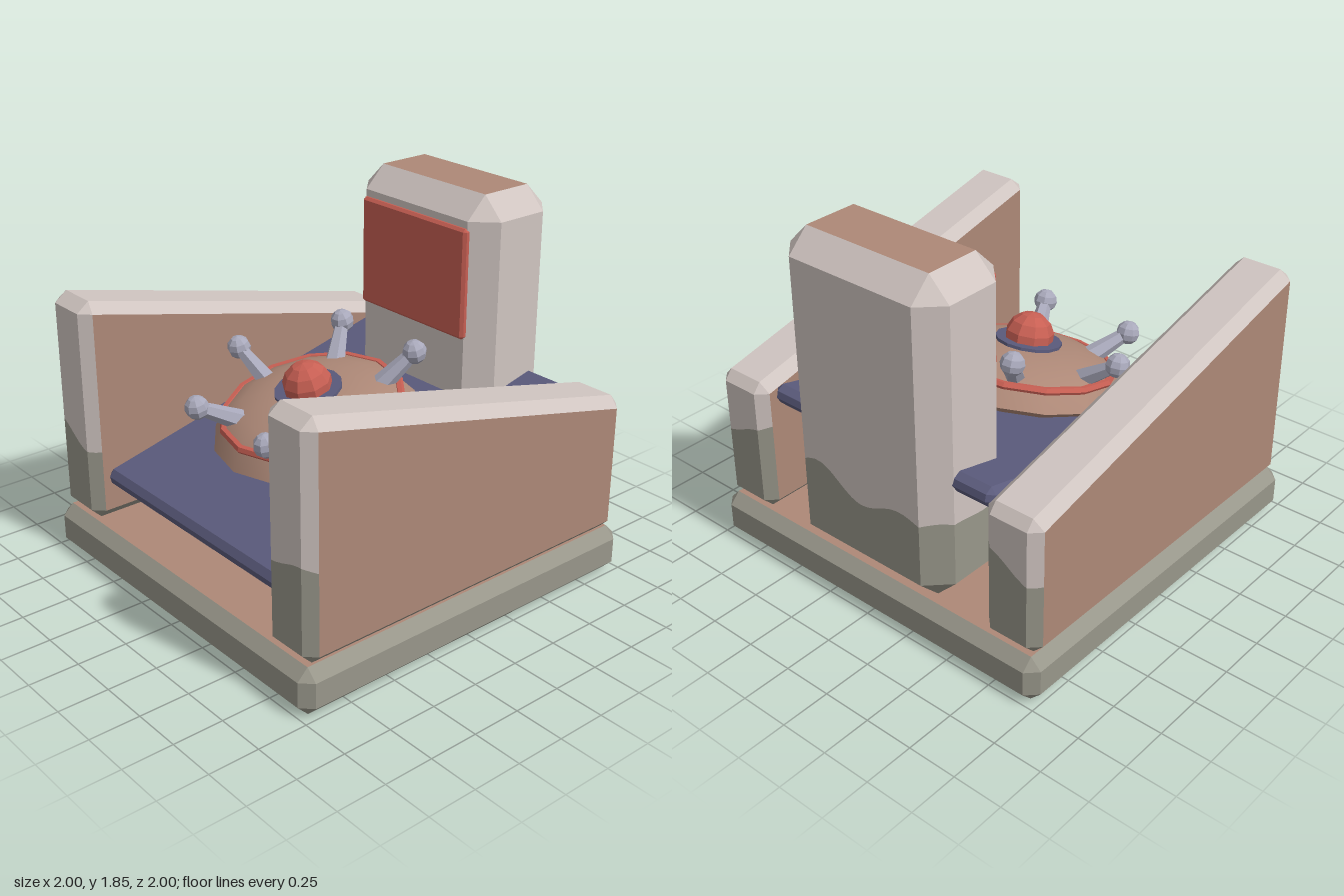
import * as THREE from 'three';

const mat = (name, color) => Object.assign(new THREE.MeshStandardMaterial({ color }), { name });
const M = {
  stone: mat('pale stone', 0xd0c5c1),
  dirt: mat('weathered stone', 0x98968a),
  brown: mat('brown panel', 0xad8877),
  blue: mat('slate blue', 0x5b5b7c),
  red: mat('coral red', 0xc75f53),
  metal: mat('pale metal', 0xa9a9bb),
};

const V = (x, y, z) => new THREE.Vector3(x, y, z);

function mesh(name, geometry, material) {
  const m = new THREE.Mesh(geometry, material);
  m.name = name;
  return m;
}

// Faceted copy of a geometry
function flat(g) {
  const f = g.index ? g.toNonIndexed() : g;
  f.computeVertexNormals();
  return f;
}

function fromTriangles(tris) {
  const g = new THREE.BufferGeometry().setFromPoints(tris.flat());
  g.computeVertexNormals();
  return g;
}

// Chamfered prism along z: corners is the inset counter-clockwise outline, b the chamfer, h the half depth
function prism(corners, b, h) {
  const n = corners.length, inset = [], outer = [];
  const normal = i => {
    const [p, q] = [corners[(i + n) % n], corners[(i + 1) % n]];
    const l = Math.hypot(q[0] - p[0], q[1] - p[1]);
    return [(q[1] - p[1]) / l, (p[0] - q[0]) / l];
  };
  corners.forEach(([x, y], i) => {
    for (const [nx, ny] of [normal(i - 1), normal(i)]) {
      inset.push([x, y]);
      outer.push([x + nx * b, y + ny * b]);
    }
  });
  const at = (ring, z) => ring.map(([x, y]) => V(x, y, z));
  const rings = [at(inset, -h), at(outer, b - h), at(outer, h - b), at(inset, h)];
  const sides = [], caps = [];
  const add = (a, c, d) => {
    if (new THREE.Triangle(a, c, d).getArea() > 1e-8) sides.push([a, c, d]);
  };
  for (let r = 0; r < 3; r++) {
    for (let j = 0; j < 2 * n; j++) {
      const k = (j + 1) % (2 * n), lo = rings[r], hi = rings[r + 1];
      add(lo[j], lo[k], hi[k]);
      add(lo[j], hi[k], hi[j]);
    }
  }
  const top = at(corners, h), bottom = at(corners, -h);
  for (let i = 1; i < n - 1; i++) {
    caps.push([top[0], top[i], top[i + 1]], [bottom[0], bottom[i + 1], bottom[i]]);
  }
  return { caps: fromTriangles(caps), sides: fromTriangles(sides) };
}

const rect = (x, y) => [[-x, -y], [x, -y], [x, y], [-x, y]];

// Chamfered box as one geometry pair with overall sizes; its long axis is z
const chamferBox = (w, h, d, b) => prism(rect(w / 2 - b, h / 2 - b), b, d / 2);

// Wavy height up to which the stone is weathered
const tide = p => 0.675 - 0.04 * Math.sin(13 * p.x + 5 * p.z) + 0.03 * Math.sin(7 * p.x - 11 * p.z + 1);

// Splits a placed geometry along the tide line into a clean and a weathered mesh
function weathered(name, geometry, clean) {
  const pos = flat(geometry).attributes.position, parts = [[], []];
  const clip = (poly, sign) => {
    const out = [];
    poly.forEach((p, i) => {
      const q = poly[(i + 1) % poly.length];
      const a = sign * (p.y - tide(p)), b = sign * (q.y - tide(q));
      if (a >= 0) out.push(p);
      if ((a >= 0) !== (b >= 0)) out.push(p.clone().lerp(q, a / (a - b)));
    });
    return out;
  };
  const cut = (a, b, c) => {
    const ys = [a.y, b.y, c.y];
    const inBand = Math.min(...ys) < 0.76 && Math.max(...ys) > 0.59;
    const e = [a.distanceTo(b), b.distanceTo(c), c.distanceTo(a)];
    const longest = Math.max(...e);
    if (inBand && longest > 0.05) {
      if (longest === e[1]) [a, b, c] = [b, c, a];
      else if (longest === e[2]) [a, b, c] = [c, a, b];
      const m = a.clone().lerp(b, 0.5);
      cut(a, m, c);
      cut(m, b, c);
      return;
    }
    [1, -1].forEach((sign, k) => {
      const poly = clip([a, b, c], sign);
      for (let i = 1; i < poly.length - 1; i++) parts[k].push([poly[0], poly[i], poly[i + 1]]);
    });
  };
  for (let i = 0; i < pos.count; i += 3) {
    cut(...[0, 1, 2].map(k => V().fromBufferAttribute(pos, i + k)));
  }
  const g = new THREE.Group();
  g.name = name;
  if (parts[0].length) g.add(mesh(name + 'Clean', fromTriangles(parts[0]), clean));
  if (parts[1].length) g.add(mesh(name + 'Weathered', fromTriangles(parts[1]), M.dirt));
  return g;
}

// Places a prism; its caps are brown and its sides weathered stone
function stoneBlock(name, p, matrix) {
  const g = weathered(name, p.sides.applyMatrix4(matrix), M.stone);
  g.add(mesh(name + 'Panels', p.caps.applyMatrix4(matrix), M.brown));
  return g;
}

// Single-colour chamfered box
function block(name, w, h, d, b, material) {
  const p = chamferBox(w, h, d, b), g = new THREE.Group();
  g.name = name;
  g.add(mesh(name + 'Sides', p.sides, material), mesh(name + 'Ends', p.caps, material));
  return g;
}

export function createModel() {
  const root = new THREE.Group();
  const upright = (y, z) => new THREE.Matrix4().makeTranslation(0, y, z)
    .multiply(new THREE.Matrix4().makeRotationX(-Math.PI / 2));

  // Base slab and rear pillar
  root.add(stoneBlock('base', chamferBox(2, 2, 0.236, 0.055), upright(0.118, 0)));
  root.add(stoneBlock('pillar', chamferBox(0.93, 0.5, 1.614, 0.11), upright(1.043, -0.75)));

  // Sloping side walls
  const wall = [[-0.91, 0.288], [0.91, 0.288], [0.91, 0.89], [-0.91, 1.325]];
  for (const s of [1, -1]) {
    const m = new THREE.Matrix4().makeTranslation(s * 0.83, 0, 0)
      .multiply(new THREE.Matrix4().makeRotationY(Math.PI / 2));
    root.add(stoneBlock(s > 0 ? 'leftWall' : 'rightWall', prism(wall, 0.052, 0.152), m));
  }

  // Red screen on the pillar
  const screen = block('screen', 0.725, 0.55, 0.055, 0.014, M.red);
  screen.position.set(0, 1.43, -0.505);
  root.add(screen);

  // Tilted board
  const tilt = 0.235;
  const board = block('board', 1.35, 0.095, 1.832, 0.03, M.blue);
  board.position.set(0, 0.68, 0);
  board.rotation.x = tilt;
  root.add(board);

  // Saucer resting on the board
  const saucer = new THREE.Group();
  saucer.name = 'saucer';
  saucer.position.set(0, 0.79, 0.125);
  saucer.rotation.x = tilt;
  saucer.updateMatrix();
  root.add(saucer);
  const lathe = pts => new THREE.LatheGeometry(pts.map(p => new THREE.Vector2(...p)), 14);
  const hull = lathe([[0, -0.09], [0.3, -0.09], [0.43, -0.045], [0.505, 0]]);
  root.add(weathered('saucerUnderside', hull.applyMatrix4(saucer.matrix), M.brown));
  saucer.add(mesh('dome', lathe([[0.505, 0], [0.455, 0.07], [0.42, 0.105], [0.34, 0.14],
    [0.25, 0.165], [0.15, 0.18], [0, 0.185]]), M.brown));
  const ring = new THREE.TorusGeometry(0.436, 0.022, 6, 14).rotateX(Math.PI / 2).rotateY(Math.PI / 14 * 7);
  ring.translate(0, 0.088, 0);
  saucer.add(mesh('ring', flat(ring), M.red));
  const collar = new THREE.CylinderGeometry(0.165, 0.165, 0.03, 14).translate(0, 0.178, 0);
  saucer.add(mesh('collar', flat(collar), M.blue));
  const cap = new THREE.SphereGeometry(0.122, 9, 7).translate(0, 0.205, 0);
  saucer.add(mesh('beacon', flat(cap), M.red));

  // Six studs with ball tips
  const inner = V(0.345, 0.105, 0), outer = V(0.53, 0.235, 0);
  const dir = outer.clone().sub(inner);
  for (let i = 0; i < 6; i++) {
    const stud = new THREE.Group();
    stud.name = 'stud' + (i + 1);
    stud.rotation.y = i * Math.PI / 3;
    const rod = mesh('rod', flat(new THREE.CylinderGeometry(0.032, 0.052, dir.length(), 6)), M.metal);
    rod.position.copy(inner).lerp(outer, 0.5);
    rod.quaternion.setFromUnitVectors(V(0, 1, 0), dir.clone().normalize());
    const tip = mesh('tip', flat(new THREE.SphereGeometry(0.06, 8, 6)), M.metal);
    tip.position.copy(outer);
    stud.add(rod, tip);
    saucer.add(stud);
  }
  return root;
}
